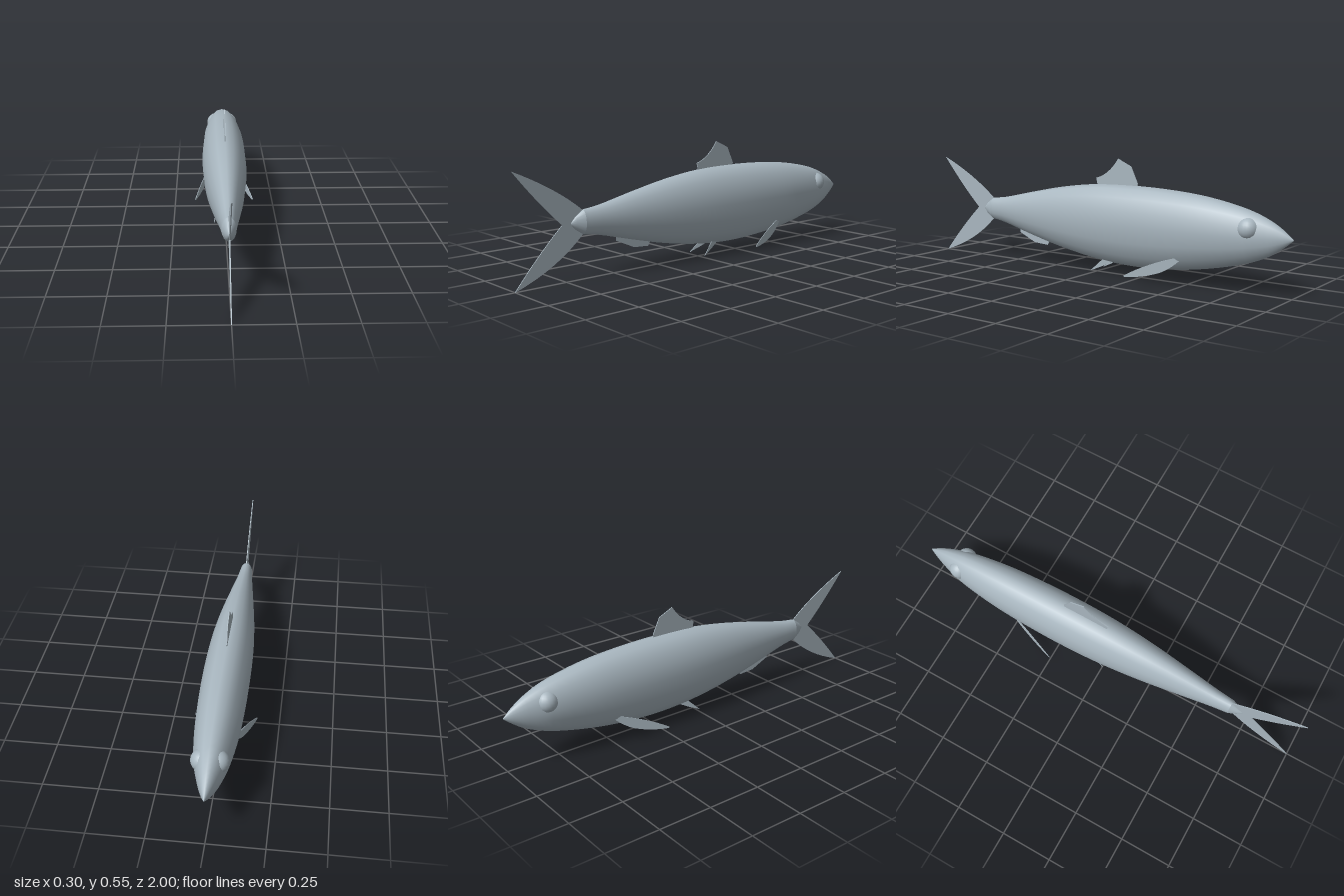
import * as THREE from 'three';

const SIDES = 16;
const MID_Y = 0.25;

// Skin through oval sections: [z, half width, height above mid, depth below mid]
function loft(sections) {
  const pos = [], index = [];
  sections.forEach(([z, w, up, down], i) => {
    for (let j = 0; j < SIDES; j++) {
      const a = (j / SIDES) * Math.PI * 2, c = Math.cos(a);
      pos.push(w * Math.sin(a), MID_Y + c * (c > 0 ? up : down), z);
      if (i === sections.length - 1) continue;
      const k = (j + 1) % SIDES, p = i * SIDES, q = p + SIDES;
      index.push(p + j, q + j, p + k, p + k, q + j, q + k);
    }
  });
  const g = new THREE.BufferGeometry();
  g.setAttribute('position', new THREE.Float32BufferAttribute(pos, 3));
  g.setIndex(index);
  g.computeVertexNormals();
  return g;
}

// Add spline sections between the given ones
function smoothSections(sections, steps) {
  const a = new THREE.CatmullRomCurve3(sections.map(s => new THREE.Vector3(s[0], s[1], s[2])));
  const b = new THREE.CatmullRomCurve3(sections.map(s => new THREE.Vector3(s[0], s[1], s[3])));
  return Array.from({ length: steps + 1 }, (_, i) => {
    const p = a.getPoint(i / steps), q = b.getPoint(i / steps);
    return [p.x, p.y, p.z, q.z];
  });
}

// Thin plate from a side outline in (z, y); lean(z) moves it sideways
function fin(shape, lean = () => 0, thickness = 0.004) {
  const g = new THREE.ExtrudeGeometry(shape, { depth: thickness, bevelEnabled: false, curveSegments: 8 });
  g.translate(0, 0, -thickness / 2).rotateY(-Math.PI / 2);
  const p = g.attributes.position;
  for (let i = 0; i < p.count; i++) p.setX(i, p.getX(i) + lean(p.getZ(i)));
  g.computeVertexNormals();
  return g;
}

const outline = points => new THREE.Shape(points.map(([z, y]) => new THREE.Vector2(z, y)));

export function createModel() {
  const fish = new THREE.Group();
  fish.name = 'fish';
  const skin = new THREE.MeshStandardMaterial({ color: 0xa9b7c0 });
  skin.name = 'silver grey';
  const add = (name, geometry) => {
    const mesh = new THREE.Mesh(geometry, skin);
    mesh.name = name;
    fish.add(mesh);
    return mesh;
  };

  // Body from nose to tail root
  add('body', loft(smoothSections([
    [-1, 0.001, 0.002, 0.002],
    [-0.96, 0.02, 0.035, 0.035],
    [-0.9, 0.042, 0.072, 0.076],
    [-0.8, 0.07, 0.112, 0.118],
    [-0.6, 0.096, 0.153, 0.167],
    [-0.4, 0.106, 0.171, 0.195],
    [-0.2, 0.108, 0.176, 0.203],
    [0, 0.102, 0.17, 0.19],
    [0.2, 0.086, 0.145, 0.158],
    [0.4, 0.062, 0.105, 0.112],
    [0.58, 0.039, 0.066, 0.066],
    [0.66, 0.031, 0.056, 0.053],
  ], 44)));

  // Blunt end of the tail root
  add('tailRoot', loft([
    [0.66, 0.031, 0.056, 0.053],
    [0.697, 0.017, 0.031, 0.03],
    [0.726, 0, 0, 0],
  ]));

  // Forked tail fin
  const tail = new THREE.Shape();
  tail.moveTo(0.64, 0.29);
  tail.lineTo(0.663, 0.306);
  tail.quadraticCurveTo(0.79, 0.41, 1, 0.5);
  tail.quadraticCurveTo(0.88, 0.355, 0.765, 0.25);
  tail.quadraticCurveTo(0.88, 0.145, 1, 0);
  tail.quadraticCurveTo(0.79, 0.07, 0.663, 0.197);
  tail.lineTo(0.64, 0.21);
  add('tailFin', fin(tail));

  // Back fin
  const back = new THREE.Shape();
  back.moveTo(0.005, 0.45);
  back.quadraticCurveTo(-0.07, 0.47, -0.12, 0.546);
  back.lineTo(-0.193, 0.513);
  back.lineTo(-0.23, 0.435);
  back.lineTo(-0.22, 0.39);
  back.lineTo(-0.01, 0.39);
  add('backFin', fin(back));

  // Fin under the rear of the belly
  add('rearBellyFin', fin(outline([
    [0.48, 0.17], [0.48, 0.142], [0.385, 0.1], [0.305, 0.095], [0.283, 0.13], [0.31, 0.16],
  ])));

  for (const side of [1, -1]) {
    const prefix = side > 0 ? 'left' : 'right';

    // Long side fin sweeping down and back
    const sideFin = new THREE.Shape();
    sideFin.moveTo(-0.49, 0.132);
    sideFin.quadraticCurveTo(-0.36, 0.1, -0.25, 0.034);
    sideFin.lineTo(-0.255, 0.029);
    sideFin.quadraticCurveTo(-0.34, 0.03, -0.417, 0.06);
    sideFin.quadraticCurveTo(-0.47, 0.088, -0.5, 0.122);
    add(prefix + 'SideFin', fin(sideFin, z => side * (0.07 + 0.32 * (z + 0.49)), 0.003));

    // Small belly fin
    add(prefix + 'BellyFin', fin(outline([
      [-0.1, 0.075], [-0.06, 0.072], [0.002, 0.011], [-0.06, 0.038], [-0.105, 0.062],
    ]), z => side * (0.025 + 0.28 * (z + 0.1)), 0.003));

    // Eye bulge
    const eye = add(prefix + 'Eye', new THREE.SphereGeometry(0.05, 20, 14));
    eye.position.set(side * 0.031, 0.285, -0.808);
  }
  return fish;
}
